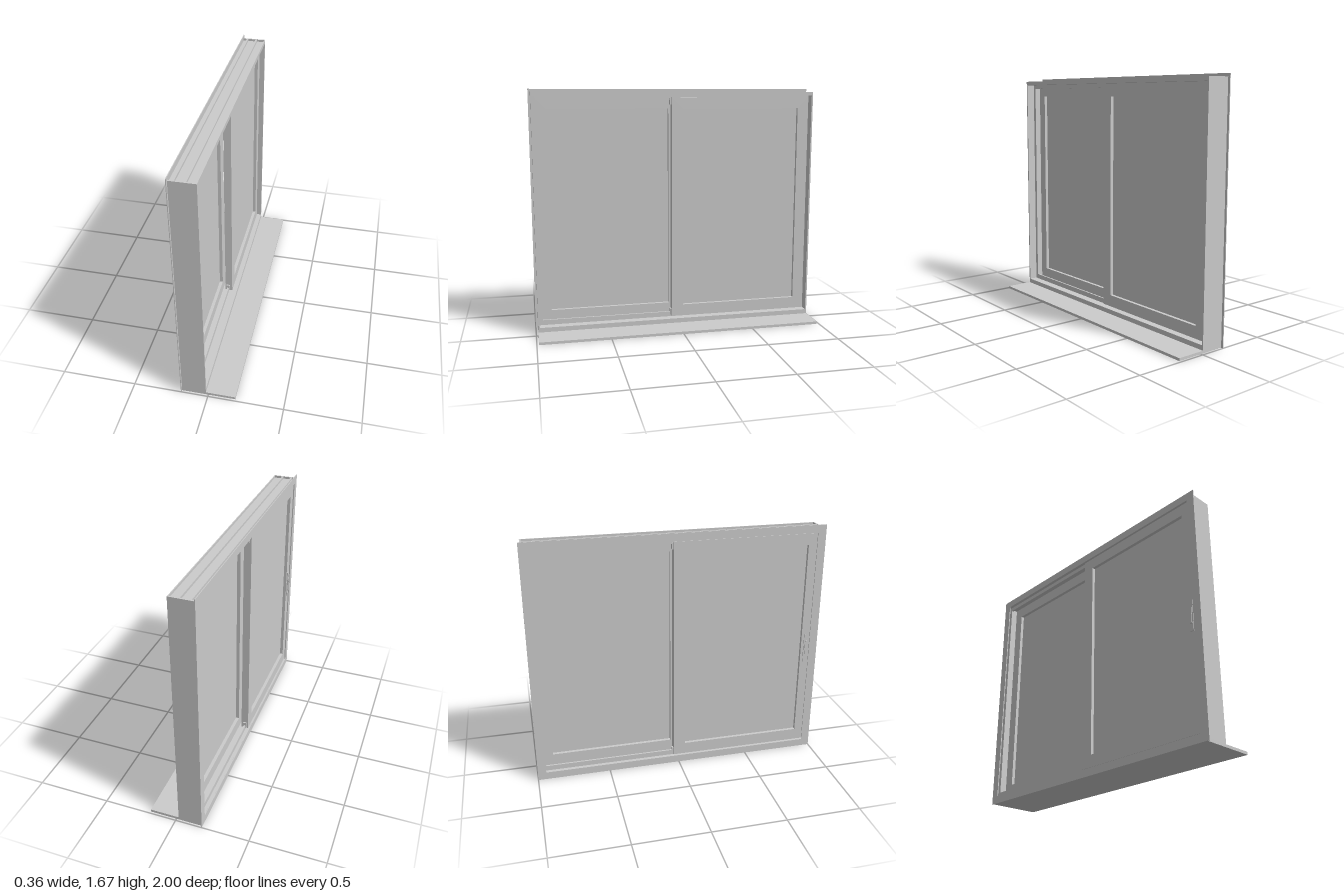
import * as THREE from 'three';

const material = new THREE.MeshStandardMaterial({ color: 0xcccccc, flatShading: true });

function add(parent, name, geometry) {
  const mesh = new THREE.Mesh(geometry, material);
  mesh.name = name;
  parent.add(mesh);
  return mesh;
}

// Box given by its limits on each axis
function box(parent, name, [x0, x1], [y0, y1], [z0, z1]) {
  const mesh = add(parent, name, new THREE.BoxGeometry(x1 - x0, y1 - y0, z1 - z0));
  mesh.position.set((x0 + x1) / 2, (y0 + y1) / 2, (z0 + z1) / 2);
}

function trace(path, [z0, z1], [y0, y1]) {
  path.moveTo(z0, y0);
  path.lineTo(z1, y0);
  path.lineTo(z1, y1);
  path.lineTo(z0, y1);
  path.closePath();
  return path;
}

// Rectangular ring lying in the zy plane, extruded from x0 to x1
function ring(parent, name, [x0, x1], outerZ, outerY, innerZ, innerY) {
  const shape = trace(new THREE.Shape(), outerZ, outerY);
  shape.holes.push(trace(new THREE.Path(), innerZ, innerY));
  const geometry = new THREE.ExtrudeGeometry(shape, { depth: x1 - x0, bevelEnabled: false });
  geometry.rotateY(-Math.PI / 2);
  add(parent, name, geometry).position.x = x1;
}

// Sliding panel: frame with a thin recessed pane
function sash(parent, name, [x0, x1], outerZ, innerZ) {
  const group = new THREE.Group();
  group.name = name;
  const mid = (x0 + x1) / 2;
  ring(group, 'sashFrame', [x0, x1], outerZ, [0.058, 1.618], innerZ, [0.14, 1.54]);
  box(group, 'glassPane', [mid - 0.003, mid + 0.003], [0.13, 1.55],
    [innerZ[0] - 0.01, innerZ[1] + 0.01]);
  parent.add(group);
  return group;
}

export function createModel() {
  const model = new THREE.Group();
  model.name = 'slidingWindow';
  const halfZ = 0.985;
  const top = 1.655;
  const full = [-halfZ, halfZ];
  const between = [-0.975, 0.975];

  // Projecting sill and fixed frame
  box(model, 'sill', [-0.18, 0.181], [0, 0.018], full);
  const frame = new THREE.Group();
  frame.name = 'fixedFrame';
  model.add(frame);
  box(frame, 'bottomTrack', [-0.176, -0.016], [0.018, 0.05], between);
  box(frame, 'headWeb', [-0.176, -0.02], [1.628, 1.64], between);
  box(frame, 'headLip', [-0.022, -0.016], [1.628, top], between);
  for (const s of [-1, 1]) {
    box(frame, 'jamb', [-0.18, -0.016], [0.018, top],
      s > 0 ? [0.975, halfZ] : [-halfZ, -0.975]);
  }

  // Guide rails that run inside the edges of the sashes
  for (const x of [-0.081, -0.1475]) {
    ring(frame, 'guideRail', [x - 0.006, x + 0.006], between, [0.03, top],
      [-0.95, 0.95], [0.085, 1.6]);
  }

  // Thin fixing flange around the back
  ring(frame, 'rearFlange', [-0.182, -0.177], [-1, 1], [0, 1.675], [-0.943, 0.943], [0.052, 1.622]);

  // Two overlapping sashes
  sash(model, 'frontSash', [-0.102, -0.05], [-0.955, 0.035], [-0.885, -0.044]);
  const rear = sash(model, 'rearSash', [-0.171, -0.12], [-0.035, 0.955], [0.046, 0.887]);

  // Handle on the inner stile
  box(rear, 'handlePlate', [-0.176, -0.17], [0.69, 0.9], [0.905, 0.935]);
  box(rear, 'handleGrip', [-0.181, -0.175], [0.74, 0.85], [0.913, 0.927]);

  // Small guide blocks where the sashes meet
  for (const y of [0.085, 1.59]) {
    box(model, 'frontGuideBlock', [-0.094, -0.068], [y - 0.022, y + 0.022], [0.03, 0.045]);
    box(model, 'rearGuideBlock', [-0.16, -0.135], [y - 0.022, y + 0.022], [-0.045, -0.03]);
  }
  return model;
}
